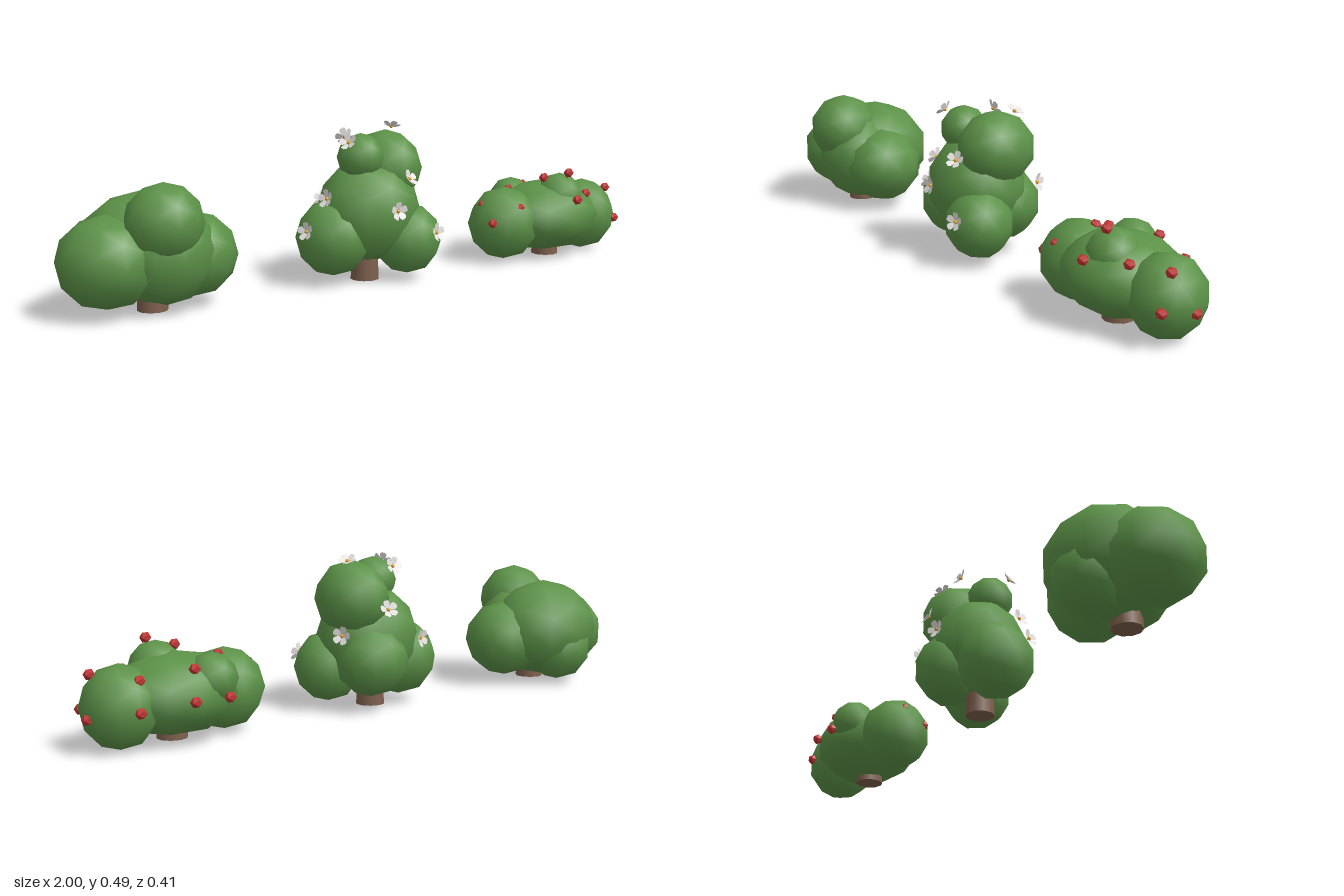
import * as THREE from 'three';

const material = (name, color, side = THREE.FrontSide) => {
  const m = new THREE.MeshStandardMaterial({ color, side });
  m.name = name;
  return m;
};

export function createModel() {
  const leafGreen = material('leaf green', 0x5c9248);
  const barkBrown = material('bark brown', 0x7d5f4d);
  const berryRed = material('berry red', 0xc03333);
  const petalWhite = material('petal white', 0xe8e2e2, THREE.DoubleSide);
  const pollenYellow = material('pollen yellow', 0xe0a528);

  const lobeGeo = new THREE.IcosahedronGeometry(1, 1);
  const berryGeo = new THREE.IcosahedronGeometry(0.017, 0);
  const trunkGeo = new THREE.CylinderGeometry(0.04, 0.045, 0.12, 10);
  const pollenGeo = new THREE.IcosahedronGeometry(0.006, 1);

  // Petal outline, with its tip bent upwards
  const outline = new THREE.Shape();
  outline.moveTo(0, 0.003);
  outline.bezierCurveTo(0.012, 0.012, 0.015, 0.028, 0.004, 0.031);
  outline.lineTo(0, 0.029);
  outline.lineTo(-0.004, 0.031);
  outline.bezierCurveTo(-0.015, 0.028, -0.012, 0.012, 0, 0.003);
  const petalGeo = new THREE.ShapeGeometry(outline, 4);
  petalGeo.rotateX(0.4);

  function add(parent, name, geometry, mat, position, scale = [1, 1, 1]) {
    const mesh = new THREE.Mesh(geometry, mat);
    mesh.name = name;
    mesh.position.set(...position);
    mesh.scale.set(...scale);
    parent.add(mesh);
    return mesh;
  }

  // A bush is a short trunk under a cluster of leafy lobes [x, y, z, rx, ry, rz]
  function bush(name, trunkX, trunkZ, lobes) {
    const group = new THREE.Group();
    group.name = name;
    add(group, 'trunk', trunkGeo, barkBrown, [trunkX, 0.065, trunkZ]);
    for (const [x, y, z, rx, ry = rx, rz = rx] of lobes)
      add(group, 'leafLobe', lobeGeo, leafGreen, [x, y, z], [rx, ry, rz]);
    return group;
  }

  // Five petals round a yellow centre, facing along the normal
  function flower(position, normal) {
    const group = new THREE.Group();
    group.name = 'flower';
    group.position.set(...position);
    group.quaternion.setFromUnitVectors(new THREE.Vector3(0, 0, 1), normal);
    for (let i = 0; i < 5; i++)
      add(group, 'petal', petalGeo, petalWhite, [0, 0, 0]).rotation.z = (i * Math.PI * 2) / 5;
    add(group, 'flowerCentre', pollenGeo, pollenYellow, [0, 0, 0.003]);
    return group;
  }

  const model = new THREE.Group();
  model.name = 'bushes';

  // Plain bush
  model.add(bush('plainBush', -0.73, 0.02, [
    [-0.73, 0.18, -0.04, 0.19, 0.16, 0.17],
    [-0.86, 0.155, 0.01, 0.145, 0.135, 0.15],
    [-0.60, 0.15, 0.01, 0.135, 0.125, 0.13],
    [-0.70, 0.17, 0.05, 0.15, 0.15, 0.13],
    [-0.72, 0.265, 0.09, 0.115, 0.115, 0.115],
    [-0.74, 0.12, -0.10, 0.11],
  ]));

  // Flowering bush
  const floweringLobes = [
    [0.0, 0.22, 0.01, 0.165, 0.165, 0.15],
    [-0.12, 0.145, 0.0, 0.115, 0.12, 0.12],
    [0.105, 0.13, 0.07, 0.108, 0.11, 0.105],
    [0.04, 0.16, -0.06, 0.115],
    [0.075, 0.345, -0.01, 0.11, 0.118, 0.125],
    [-0.04, 0.39, 0.03, 0.073],
  ];
  const flowering = bush('floweringBush', -0.013, 0.01, floweringLobes);
  const flowers = [
    [0.0, 0.24, 0.175], [0.07, 0.325, 0.13], [0.14, 0.16, 0.175],
    [0.12, 0.463, -0.045], [-0.1, 0.44, 0.06], [-0.17, 0.275, 0.05],
    [-0.235, 0.18, 0.04], [-0.035, 0.44, -0.07], [0.04, 0.32, -0.14],
    [-0.06, 0.23, -0.17], [0.175, 0.25, -0.09],
  ];
  for (const position of flowers) {
    // Face away from the nearest lobe
    const p = new THREE.Vector3(...position);
    const offsets = floweringLobes.map(([x, y, z, r]) => {
      const d = p.clone().sub(new THREE.Vector3(x, y, z));
      return { d, gap: d.length() - r };
    });
    offsets.sort((a, b) => a.gap - b.gap);
    flowering.add(flower(position, offsets[0].d.normalize()));
  }
  model.add(flowering);

  // Berry bush
  const berryBush = bush('berryBush', 0.705, 0.01, [
    [0.705, 0.135, 0.0, 0.19, 0.12, 0.17],
    [0.53, 0.125, 0.01, 0.12, 0.12, 0.115],
    [0.88, 0.12, -0.01, 0.11, 0.12, 0.115],
    [0.73, 0.2, 0.05, 0.08],
    [0.635, 0.18, -0.09, 0.075],
  ]);
  const berries = [
    [0.44, 0.14, 0.07], [0.45, 0.19, 0], [0.53, 0.185, 0.095], [0.565, 0.23, -0.015],
    [0.68, 0.265, 0.03], [0.74, 0.283, 0.085], [0.725, 0.203, 0.15], [0.825, 0.205, 0.075],
    [0.945, 0.21, 0.035], [0.955, 0.11, 0.073], [0.983, 0.10, -0.02], [0.86, 0.2, -0.085],
    [0.71, 0.22, -0.123], [0.74, 0.14, -0.175], [0.63, 0.14, -0.175], [0.88, 0.12, -0.125],
  ];
  for (const position of berries) add(berryBush, 'berry', berryGeo, berryRed, position);
  model.add(berryBush);

  return model;
}
